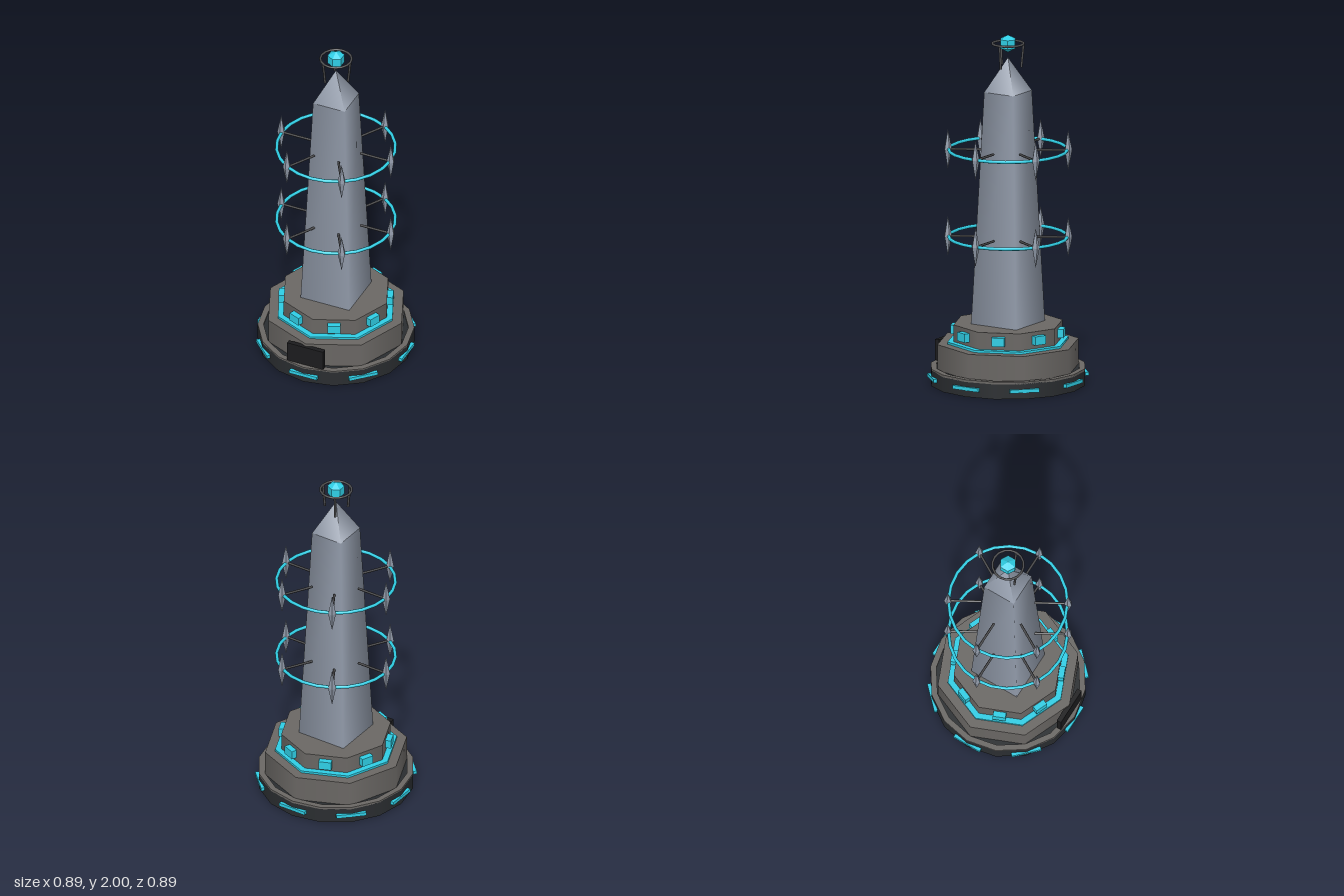
import * as THREE from 'three';

const mat = (color, flatShading = false) => new THREE.MeshStandardMaterial({ color, flatShading });
const stone = mat(0x6b6865);
const dark = mat(0x2a2d30);
const black = mat(0x1c1c1e);
const metal = mat(0x9099a8);
const crystal = mat(0x9099a8, true);
const rodGrey = mat(0x4a4a4c);
const cyan = mat(0x2fcfe6);
const cyanFlat = mat(0x2fcfe6, true);

export function createModel() {
  const model = new THREE.Group();

  const add = (name, geometry, material, x = 0, y = 0, z = 0, parent = model) => {
    const mesh = new THREE.Mesh(geometry, material);
    mesh.name = name;
    mesh.position.set(x, y, z);
    parent.add(mesh);
    return mesh;
  };

  // Upright prism or frustum between two heights
  const prism = (name, rTop, rBottom, y0, y1, sides, material) =>
    add(name, new THREE.CylinderGeometry(rTop, rBottom, y1 - y0, sides), material, 0, (y0 + y1) / 2);

  // Horizontal ring
  const ring = (name, radius, tube, y, segments, material, parent = model) => {
    const geometry = new THREE.TorusGeometry(radius, tube, 8, segments).rotateX(Math.PI / 2);
    return add(name, geometry, material, 0, y, 0, parent);
  };

  // Straight rod between two points
  const rod = (name, a, b, radius, parent = model) => {
    const dir = b.clone().sub(a);
    const mid = a.clone().add(b).multiplyScalar(0.5);
    const mesh = add(name, new THREE.CylinderGeometry(radius, radius, dir.length(), 6), rodGrey, mid.x, mid.y, mid.z, parent);
    mesh.quaternion.setFromUnitVectors(new THREE.Vector3(0, 1, 0), dir.normalize());
  };

  const polar = (r, angle, y) => new THREE.Vector3(Math.cos(angle) * r, y, Math.sin(angle) * r);

  // Eight outward-facing boxes around the axis
  const boxesAround = (name, w, h, d, r, y, offset) => {
    for (let i = 0; i < 8; i++) {
      const a = offset + (i * Math.PI) / 4;
      const box = add(name, new THREE.BoxGeometry(w, h, d), cyan, Math.sin(a) * r, y, Math.cos(a) * r);
      box.rotation.y = a;
    }
  };

  // Stepped base
  prism('basePlinth', 0.44, 0.44, 0, 0.09, 16, dark);
  const rim = [[0.407, 0.085], [0.44, 0.085], [0.44, 0.098], [0.407, 0.098], [0.407, 0.085]];
  add('baseRim', new THREE.LatheGeometry(rim.map(([x, y]) => new THREE.Vector2(x, y)), 16), mat(0x6b6865, true));
  prism('lowerTier', 0.405, 0.405, 0.09, 0.237, 8, stone);
  prism('tierGlowBand', 0.348, 0.348, 0.235, 0.25, 8, cyan);
  prism('upperTier', 0.313, 0.313, 0.237, 0.347, 8, stone);
  boxesAround('baseLightStrip', 0.17, 0.02, 0.02, 0.436, 0.047, 0);
  boxesAround('tierWindow', 0.072, 0.05, 0.034, 0.305, 0.3, Math.PI / 8);
  add('frontPanel', new THREE.BoxGeometry(0.222, 0.12, 0.027), black, 0, 0.16, 0.403);

  // Square tapering shaft and its pointed cap
  const s = Math.SQRT2;
  prism('shaft', 0.097 * s, 0.15 * s, 0.345, 1.675, 4, metal).rotation.y = Math.PI / 4;
  const cap = add('shaftCap', new THREE.ConeGeometry(0.097 * s, 0.195, 4), metal, 0, 1.7725, 0);
  cap.rotation.y = Math.PI / 4;

  // Two orbiting rings with spokes and pointed crystals
  const shape = [[0, -0.115], [0.023, 0], [0, 0.115]].map(([x, y]) => new THREE.Vector2(x, y));
  for (const y of [0.84, 1.34]) {
    const orbit = new THREE.Group();
    orbit.name = 'crystalRing';
    orbit.position.y = y;
    model.add(orbit);
    ring('glowRing', 0.334, 0.0095, 0, 24, cyan, orbit);
    for (let i = 0; i < 6; i++) {
      const a = (i * Math.PI) / 3;
      const p = polar(0.338, a, 0);
      rod('spoke', polar(0.15, a, 0), p, 0.007, orbit);
      add('crystal', new THREE.LatheGeometry(shape, 5), crystal, p.x, 0, p.z, orbit);
    }
  }

  // Beacon: orb inside a ring carried on three legs
  const orb = add('beaconOrb', new THREE.SphereGeometry(0.05, 6, 3).rotateY(Math.PI / 6), cyanFlat, 0, 1.95, 0);
  orb.scale.set(1.1, 1, 1.1);
  ring('beaconRing', 0.088, 0.007, 1.95, 16, rodGrey);
  for (let i = 0; i < 3; i++) {
    const a = (i * 2 * Math.PI) / 3;
    rod('beaconLeg', polar(0.075, a, 1.815), polar(0.088, a, 1.95), 0.007);
  }

  return model;
}
